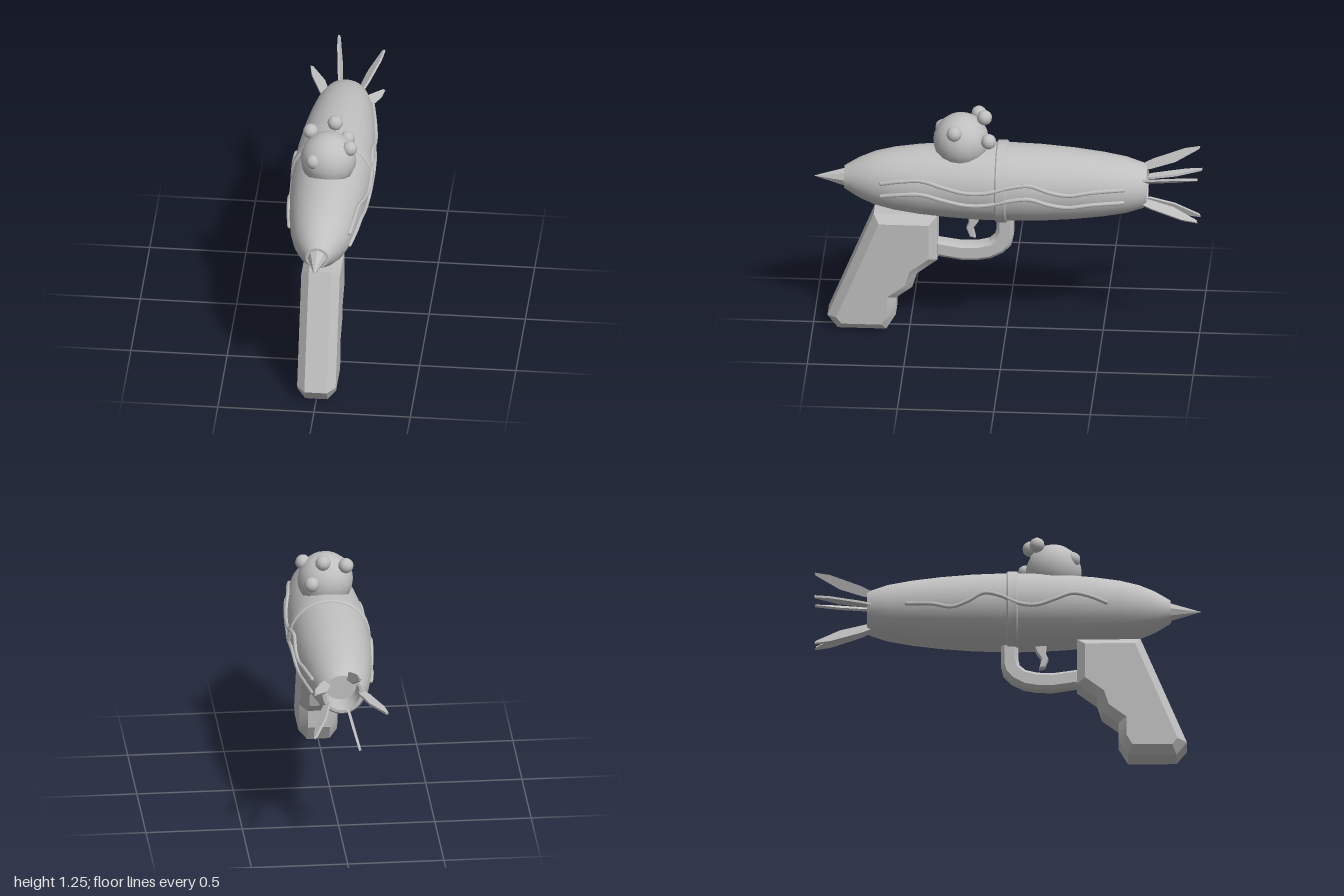
import * as THREE from 'three';
import { toCreasedNormals } from 'three/addons/utils/BufferGeometryUtils.js';

const AXIS = 0.84; // height of the barrel axis

// Barrel outline: [z, radius] from tail to nose
const HULL = [
  [-0.73, 0.105], [-0.71, 0.118], [-0.62, 0.147], [-0.5, 0.168], [-0.35, 0.186], [-0.18, 0.199],
  [0, 0.205], [0.15, 0.203], [0.3, 0.195], [0.45, 0.182], [0.58, 0.164],
  [0.68, 0.14], [0.76, 0.107], [0.81, 0.078], [0.84, 0.06],
];

function hullRadius(z) {
  for (let i = 1; i < HULL.length; i++) {
    const [z0, r0] = HULL[i - 1], [z1, r1] = HULL[i];
    if (z <= z1) return r0 + ((z - z0) / (z1 - z0)) * (r1 - r0);
  }
  return HULL[HULL.length - 1][1];
}

export function createModel() {
  const group = new THREE.Group();
  const metal = new THREE.MeshStandardMaterial({ color: 0xc0c0c0 });
  metal.name = 'grey metal';

  function add(name, geometry, parent = group) {
    const mesh = new THREE.Mesh(geometry, metal);
    mesh.name = name;
    parent.add(mesh);
    return mesh;
  }

  // Revolve [z, radius] points about the barrel axis
  function revolve(name, points, sides, crease = 0.6) {
    const g = new THREE.LatheGeometry(points.map(([z, r]) => new THREE.Vector2(r, z)), sides);
    g.rotateX(Math.PI / 2);
    return add(name, toCreasedNormals(g, crease)).translateY(AXIS);
  }

  // Extrude a [z, y] side outline to a full width in x, with chamfered edges
  function sidePlate(name, points, width, bevel = 0) {
    const shape = new THREE.Shape(points.map(([z, y]) => new THREE.Vector2(-z, y)));
    const depth = width - 2 * bevel;
    const g = new THREE.ExtrudeGeometry(shape, {
      depth, bevelEnabled: bevel > 0, bevelSegments: 1,
      bevelSize: bevel, bevelThickness: bevel, bevelOffset: -bevel,
    });
    g.translate(0, 0, -depth / 2).rotateY(Math.PI / 2);
    return add(name, toCreasedNormals(g, 0.45));
  }

  // Barrel with a hollow tail
  revolve('barrel', [[-0.6, 0], [-0.6, 0.085], [-0.73, 0.09], ...HULL, [0.84, 0]], 32);
  revolve('noseCone', [[0.835, 0], [0.835, 0.05], [1, 0]], 8, 0.3);
  revolve('band', [
    [-0.007, 0.195], [-0.007, 0.208], [0, 0.215], [0.045, 0.215], [0.052, 0.208], [0.052, 0.195],
  ], 32);

  // Dome on top with its knobs
  const dome = add('dome', new THREE.SphereGeometry(0.145, 16, 12));
  dome.position.set(0, 1.07, 0.235);
  const knobs = [
    [-0.068, 1.11, 0.335], [0.023, 1.213, 0.113], [0.113, 1.157, 0.265],
    [-0.1, 1.178, 0.15], [0.083, 1.105, 0.088],
  ];
  for (const p of knobs) {
    add('domeKnob', new THREE.SphereGeometry(0.04, 10, 8)).position.set(...p);
  }

  // Wavy pipes lying on the barrel: two on the left, one on the right
  function wavyPipe(side, height, path) {
    const points = path.map(([z, dy]) => {
      const y = height + dy - AXIS;
      const r = hullRadius(z) + 0.004;
      return new THREE.Vector3(side * Math.sqrt(r * r - y * y), y + AXIS, z);
    });
    const g = new THREE.TubeGeometry(new THREE.CatmullRomCurve3(points), 48, 0.011, 8);
    add('wavyPipe', g);
    for (const end of [points[0], points[points.length - 1]]) {
      add('wavyPipeEnd', new THREE.SphereGeometry(0.011, 8, 6)).position.copy(end);
    }
  }
  const wave = [
    [0.64, 0], [0.54, 0.022], [0.43, 0.033], [0.32, 0.008], [0.2, -0.016], [0.09, -0.01],
    [-0.03, 0.022], [-0.13, 0.032], [-0.23, 0], [-0.33, -0.018], [-0.45, -0.004], [-0.61, 0.002],
  ];
  wavyPipe(1, 0.877, wave);
  wavyPipe(1, 0.805, wave);
  wavyPipe(-1, 0.815, wave.map(([z, dy]) => [z * 0.825 - 0.02, dy * 1.4]));

  // Five radial tail fins
  const finShape = new THREE.Shape([
    [0.085, -0.7], [0.112, -0.7], [0.14, -0.755], [0.2, -0.92], [0.213, -1], [0.198, -0.995],
    [0.125, -0.87], [0.085, -0.74],
  ].map(([r, z]) => new THREE.Vector2(r, -z)));
  for (let i = 0; i < 5; i++) {
    const g = new THREE.ExtrudeGeometry(finShape, { depth: 0.012, bevelEnabled: false });
    g.translate(0, 0, -0.006).rotateX(-Math.PI / 2);
    const fin = add('tailFin', g);
    fin.position.y = AXIS;
    fin.rotation.z = Math.PI + (i * Math.PI * 2) / 5;
  }

  // Handle with finger notches along the back
  sidePlate('grip', [
    [0.685, 0.66], [0.925, 0.07], [0.87, 0], [0.62, 0], [0.57, 0.085],
    [0.57, 0.18], [0.485, 0.245], [0.46, 0.325], [0.355, 0.405], [0.355, 0.66],
  ], 0.2, 0.042);

  // Trigger guard curving from the barrel to the grip
  sidePlate('triggerGuard', [
    [-0.038, 0.67], [-0.038, 0.54], [-0.025, 0.485], [0.015, 0.44], [0.08, 0.405], [0.15, 0.392],
    [0.23, 0.39], [0.37, 0.412], [0.37, 0.505], [0.23, 0.485], [0.15, 0.488],
    [0.09, 0.503], [0.06, 0.53], [0.052, 0.57], [0.052, 0.67],
  ], 0.08, 0.018);

  sidePlate('trigger', [
    [0.13, 0.66], [0.145, 0.61], [0.172, 0.57], [0.16, 0.515], [0.19, 0.522],
    [0.208, 0.57], [0.195, 0.6], [0.2, 0.66],
  ], 0.04, 0.005);

  return group;
}
